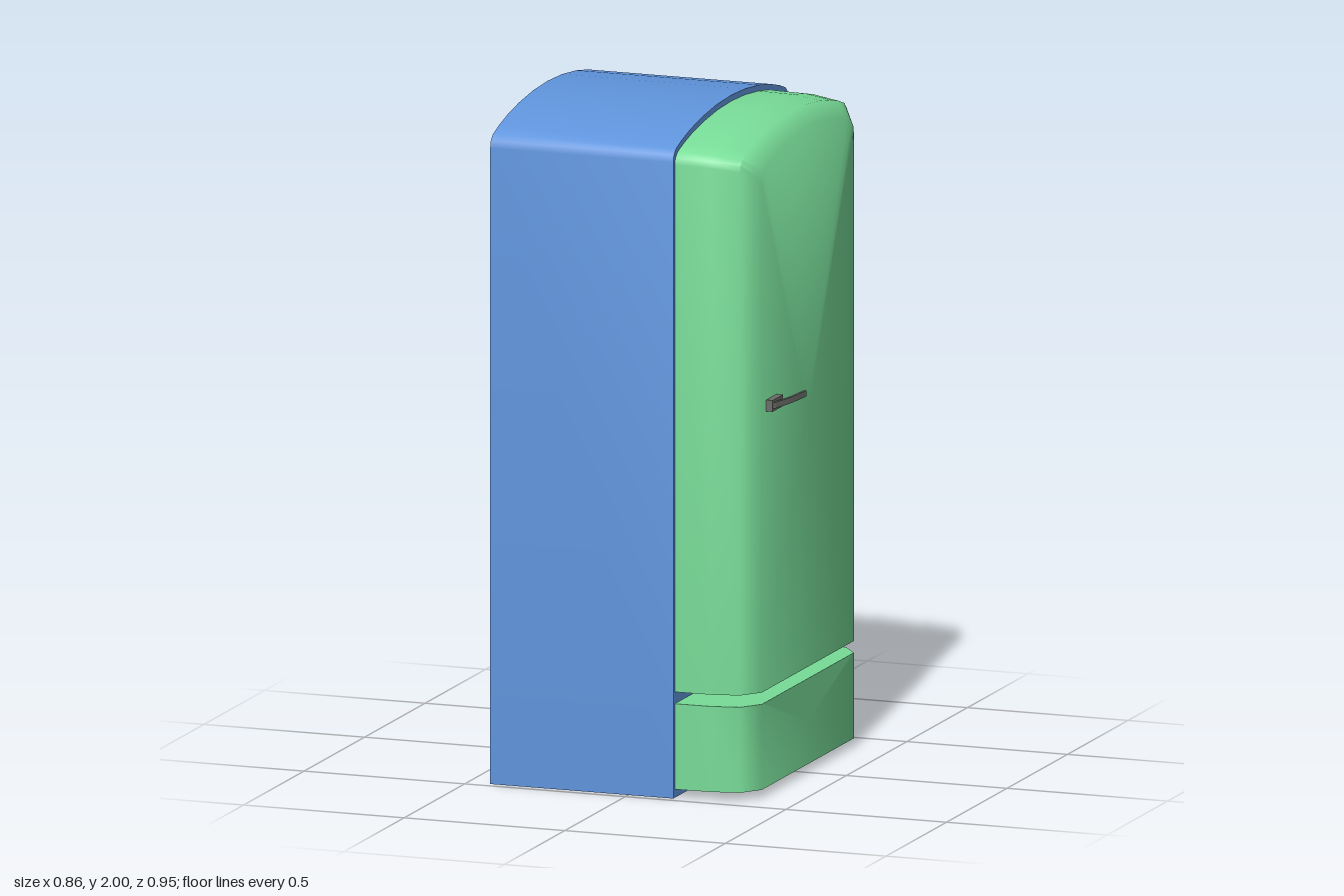
import * as THREE from 'three';
import { toCreasedNormals } from 'three/addons/utils/BufferGeometryUtils.js';

const blue = new THREE.MeshStandardMaterial({ color: 0x5f94dc });
const green = new THREE.MeshStandardMaterial({ color: 0x78dc98 });
const grey = new THREE.MeshStandardMaterial({ color: 0x6a6e6a });

// Arch profile: fraction of half width, fraction of rise
const ARCH = [[1, 0], [0.99, 0.2], [0.955, 0.35], [0.85, 0.51], [0.7, 0.68], [0.5, 0.84], [0.25, 0.96], [0, 1]];

// Closed outline [z, y], counter-clockwise seen from +x
function outline(w, bottom, side, top) {
  const half = ARCH.map(([u, f]) => [u * w, side + f * (top - side)]);
  const right = half.map(([z, y]) => [-z, y]);
  const left = half.slice(0, -1).reverse();
  return [[-w, bottom], ...right, ...left, [w, bottom]];
}

// Capped loft through sections { x, w, side, top } along x
function loft(sections, bottom) {
  const pos = [], idx = [];
  const rings = sections.map(s => outline(s.w, bottom, s.side, s.top));
  const n = rings[0].length;
  rings.forEach((ring, i) => ring.forEach(([z, y]) => pos.push(sections[i].x, y, z)));
  const last = (rings.length - 1) * n;
  const back = rings.length * n, front = back + 1;
  for (const s of [sections[0], sections[sections.length - 1]]) pos.push(s.x, (bottom + s.side) / 2, 0);
  for (let j = 0; j < n; j++) {
    const k = (j + 1) % n;
    for (let i = 0; i < last; i += n) {
      idx.push(i + j, i + k, i + n + k, i + j, i + n + k, i + n + j);
    }
    idx.push(front, last + j, last + k, back, k, j);
  }
  const g = new THREE.BufferGeometry();
  g.setAttribute('position', new THREE.Float32BufferAttribute(pos, 3));
  g.setIndex(idx);
  return toCreasedNormals(g, 0.85);
}

// Curved grip: a thin ribbon following a curve in plan, extruded in y
function gripGeometry() {
  const path = new THREE.CatmullRomCurve3(
    [[0.382, 0.338], [0.396, 0.337], [0.404, 0.31], [0.418, 0.24], [0.426, 0.145]]
      .map(([x, z]) => new THREE.Vector3(x, -z, 0)));
  const outer = [], inner = [];
  for (let i = 0; i <= 20; i++) {
    const p = path.getPoint(i / 20), t = path.getTangent(i / 20);
    const off = 0.004;
    outer.push(new THREE.Vector2(p.x + t.y * off, p.y - t.x * off));
    inner.push(new THREE.Vector2(p.x - t.y * off, p.y + t.x * off));
  }
  const shape = new THREE.Shape([...outer, ...inner.reverse()]);
  const g = new THREE.ExtrudeGeometry(shape, { depth: 0.018, bevelEnabled: false });
  g.rotateX(-Math.PI / 2);
  g.translate(0, 1.154, 0);
  return toCreasedNormals(g, 0.6);
}

export function createModel() {
  const model = new THREE.Group();
  model.name = 'refrigerator';
  const add = (name, geometry, material, parent = model) => {
    const mesh = new THREE.Mesh(geometry, material);
    mesh.name = name;
    parent.add(mesh);
    return mesh;
  };

  // Cabinet with arched roof
  add('cabinet', loft([
    { x: -0.43, w: 0.475, side: 1.895, top: 2 },
    { x: 0.14, w: 0.475, side: 1.895, top: 2 },
  ], 0), blue);

  // Door and lower panel share the same rounded plan
  const plan = [[0.14, 0.462], [0.25, 0.46], [0.335, 0.441], [0.38, 0.38]];
  const drop = [0, 0.002, 0.012, 0.055];
  add('door', loft(plan.map(([x, w], i) =>
    ({ x, w, side: 1.885 - drop[i], top: 1.982 - drop[i] })), 0.315), green);
  add('lowerPanel', loft(plan.map(([x, w]) =>
    ({ x, w, side: 0.28, top: 0.28 })), 0.025), green);

  // Door handle
  const handle = new THREE.Group();
  handle.name = 'handle';
  model.add(handle);
  add('handleBase', new THREE.BoxGeometry(0.024, 0.034, 0.085), grey, handle)
    .position.set(0.388, 1.163, 0.302);
  add('handleGrip', gripGeometry(), grey, handle);

  return model;
}
